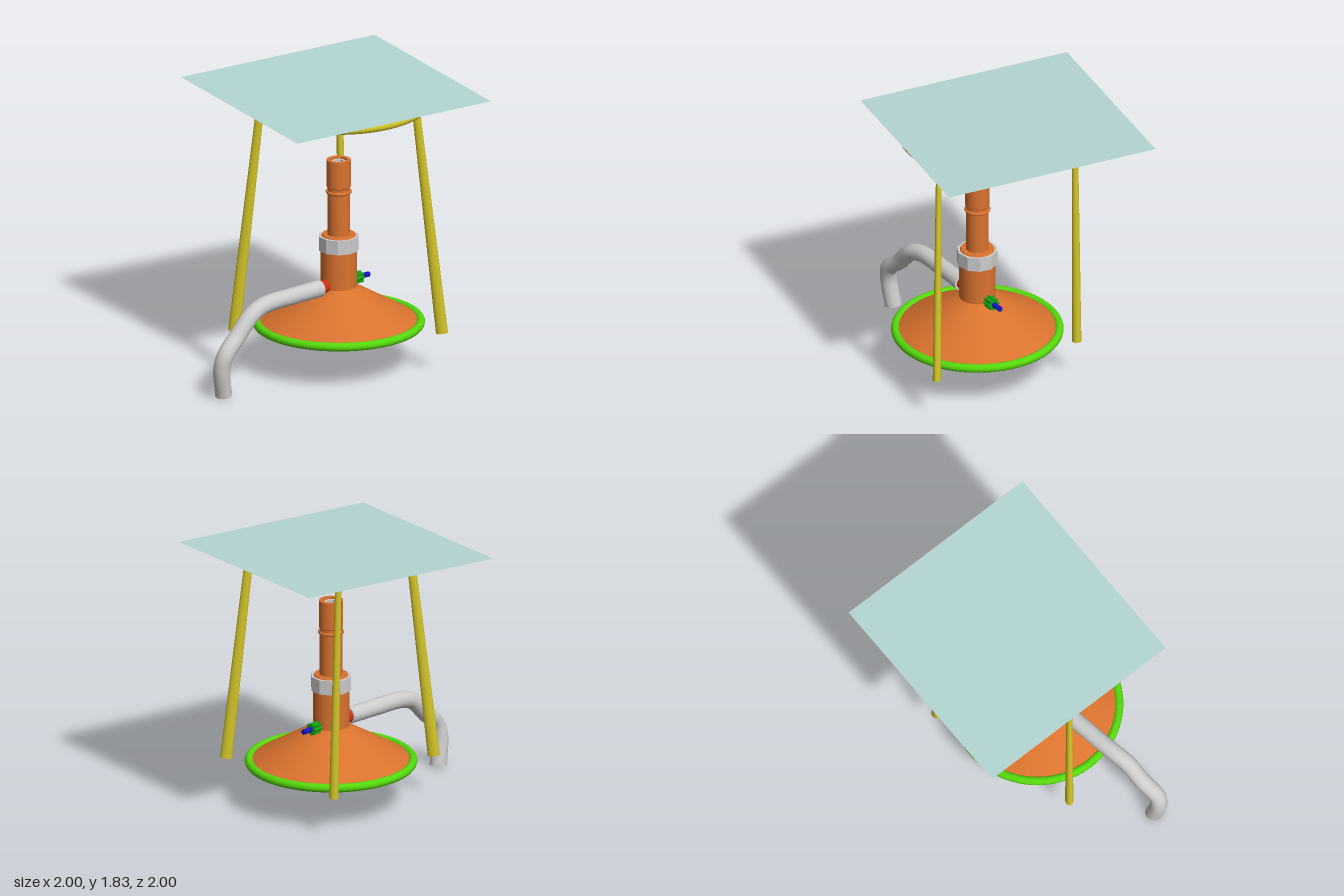
import * as THREE from 'three';
import { toCreasedNormals } from 'three/addons/utils/BufferGeometryUtils.js';

const V = (x, y, z) => new THREE.Vector3(x, y, z);
const mat = (color) => new THREE.MeshStandardMaterial({ color });
const orange = mat(0xd9722e), green = mat(0x55d80c), yellow = mat(0xd2c428), grey = mat(0xcccccc);
const red = mat(0xd03010), blue = mat(0x1515c8), knobGreen = mat(0x12a012);
const glass = mat(0xb4d6d4);
glass.side = THREE.DoubleSide;

function add(parent, name, geometry, material, x = 0, y = 0, z = 0) {
  const mesh = new THREE.Mesh(geometry, material);
  mesh.name = name;
  mesh.position.set(x, y, z);
  parent.add(mesh);
  return mesh;
}

const lathe = (pts, segments = 40) => toCreasedNormals(
  new THREE.LatheGeometry(pts.map((p) => new THREE.Vector2(...p)), segments), 0.5);

const flatRing = (r, tube) => new THREE.TorusGeometry(r, tube, 14, 64).rotateX(Math.PI / 2);

// Tapered rod between two points; rTop at b
function rod(parent, name, a, b, rBottom, rTop, material, sides = 20) {
  const mesh = add(parent, name,
    new THREE.CylinderGeometry(rTop, rBottom, a.distanceTo(b), sides), material);
  mesh.position.copy(a).lerp(b, 0.5);
  mesh.quaternion.setFromUnitVectors(V(0, 1, 0), b.clone().sub(a).normalize());
  return mesh;
}

function createBurner() {
  const burner = new THREE.Group();
  burner.name = 'burner';
  burner.position.set(0.025, 0, 0.195);

  // Conical foot with the lower barrel
  add(burner, 'base', lathe([[0, 0.285], [0.525, 0.285], [0.525, 0.295], [0.117, 0.535],
    [0.117, 0.865], [0.105, 0.885], [0, 0.885]], 56), orange);
  add(burner, 'baseRing', flatRing(0.525, 0.028), green, 0, 0.293, 0);

  // Ten-sided collar, open in the middle
  const collar = lathe([[0.112, 0.78], [0.132, 0.78], [0.132, 0.875], [0.112, 0.875], [0.112, 0.78]], 10);
  add(burner, 'collar', toCreasedNormals(collar, 0.1), grey);

  // Upper tube with hollow mouth
  add(burner, 'barrel', lathe([[0.073, 0.86], [0.073, 1.2], [0.078, 1.205], [0.078, 1.385],
    [0.052, 1.385], [0.052, 1.22], [0, 1.22]]), orange);
  add(burner, 'barrelBead', flatRing(0.073, 0.011), orange, 0, 1.17, 0);
  add(burner, 'jet', lathe([[0.044, 1.21], [0.044, 1.375], [0.03, 1.375], [0.03, 1.23], [0, 1.23]], 24), grey);

  // Gas inlet on one side, adjusting knob on the opposite one
  const at = (d) => V(d * 0.707, 0.553, -d * 0.707);
  rod(burner, 'gasInlet', at(-0.08), at(-0.2), 0.043, 0.043, red);
  rod(burner, 'knobStem', at(0.1), at(0.262), 0.017, 0.017, blue);
  const knob = new THREE.Shape();
  for (let i = 0; i < 48; i++) {
    const t = (i / 48) * Math.PI * 2;
    const r = 0.037 + 0.005 * Math.cos(8 * t);
    knob[i ? 'lineTo' : 'moveTo'](r * Math.cos(t), r * Math.sin(t));
  }
  const knobMesh = add(burner, 'knob',
    new THREE.ExtrudeGeometry(knob, { depth: 0.065, bevelEnabled: false }), knobGreen);
  knobMesh.position.copy(at(0.125));
  knobMesh.rotation.y = Math.PI * 0.75;
  return burner;
}

function createHose() {
  const path = new THREE.CatmullRomCurve3([
    V(-0.09, 0.553, 0.315), V(-0.26, 0.55, 0.47), V(-0.44, 0.54, 0.64), V(-0.515, 0.5, 0.725),
    V(-0.6, 0.385, 0.81), V(-0.67, 0.29, 0.895), V(-0.695, 0.2, 0.905), V(-0.685, 0.01, 0.873)]);
  const hose = new THREE.Group();
  hose.name = 'hose';
  add(hose, 'hoseTube', new THREE.TubeGeometry(path, 80, 0.055, 24), grey);
  // End caps
  for (const [t, s] of [[0, -1], [1, 1]]) {
    const cap = add(hose, 'hoseEnd', new THREE.CircleGeometry(0.055, 24), grey);
    cap.position.copy(path.getPointAt(t));
    cap.quaternion.setFromUnitVectors(V(0, 0, 1), path.getTangentAt(t).multiplyScalar(s));
  }
  return hose;
}

function createTripod() {
  const tripod = new THREE.Group();
  tripod.name = 'tripod';

  // Slightly tilted top: ring, pegs and glass plate
  const top = new THREE.Group();
  top.name = 'tripodTop';
  top.position.y = 1.7925;
  top.rotation.set(0.0365, 0, 0.005);
  tripod.add(top);
  add(top, 'ring', flatRing(0.557, 0.027), yellow, 0.035, -0.031, 0.115);
  for (let i = 0; i < 3; i++) {
    const a = THREE.MathUtils.degToRad(12 + i * 120);
    add(top, 'peg', new THREE.CylinderGeometry(0.013, 0.013, 0.045, 12), yellow,
      0.035 + 0.54 * Math.cos(a), -0.048, 0.115 + 0.54 * Math.sin(a));
  }
  const plate = add(top, 'glassPlate', new THREE.PlaneGeometry(1.45, 1.437).rotateX(-Math.PI / 2), glass);
  plate.rotation.y = THREE.MathUtils.degToRad(33.5);

  // Splayed, tapering legs, slightly oval
  const legs = [
    [V(-0.638, 0.27, 0.335), V(-0.475, 1.745, 0.352), 1.3, 0.9],
    [V(0.692, 0.27, 0.335), V(0.53, 1.745, 0.352), 1.3, 0.9],
    [V(0.03, 0.27, -0.453), V(0, 1.755, -0.435), 1, 1]];
  for (const [foot, head, sx, sz] of legs) {
    rod(tripod, 'leg', foot, head, 0.03, 0.02, yellow).scale.set(sx, 1, sz);
  }
  return tripod;
}

export function createModel() {
  const model = new THREE.Group();
  model.name = 'gasBurnerWithTripod';
  model.add(createBurner(), createHose(), createTripod());
  return model;
}
